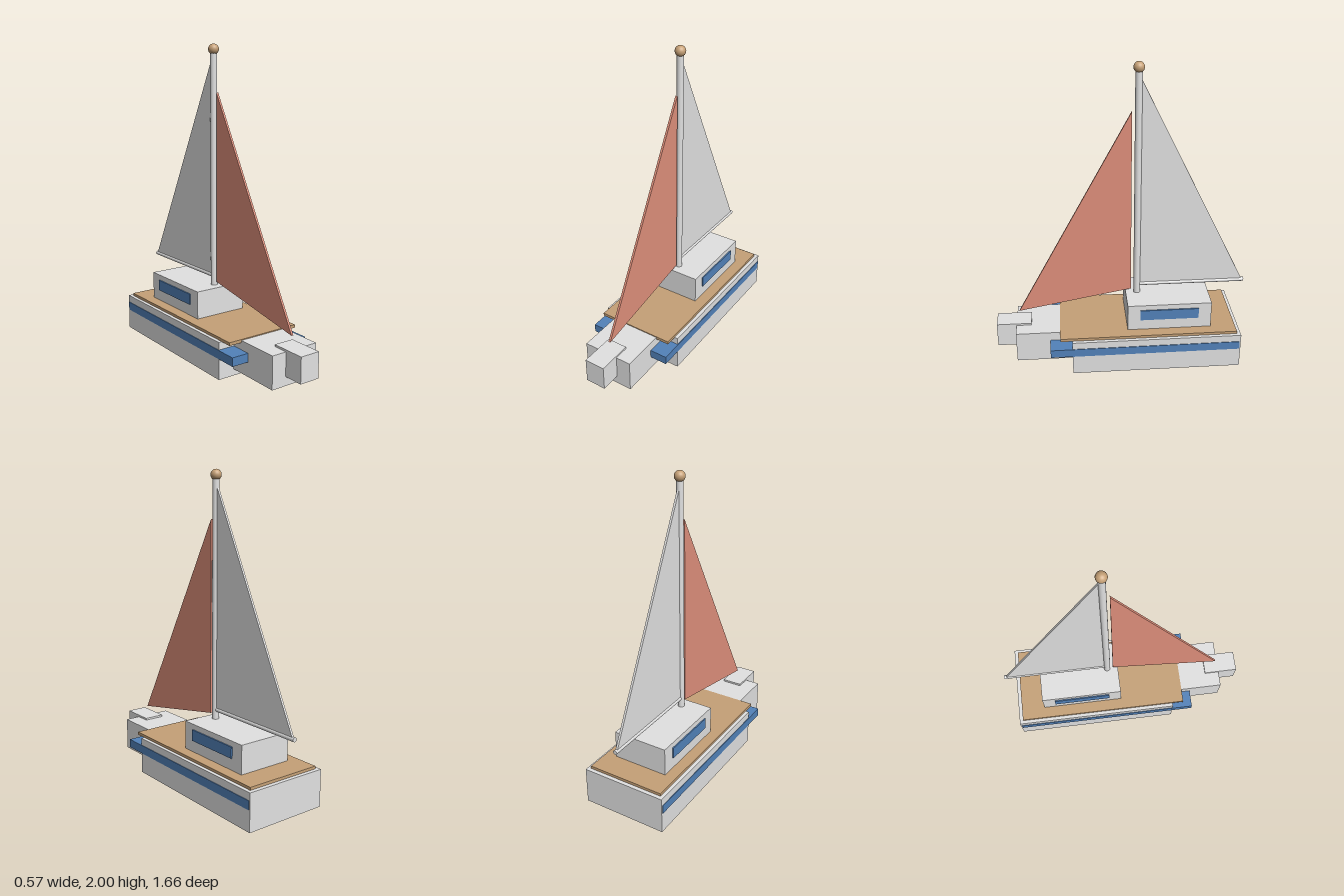
import * as THREE from 'three';

const material = (name, color) => {
  const m = new THREE.MeshStandardMaterial({ color });
  m.name = name;
  return m;
};

export function createModel() {
  const boat = new THREE.Group();
  boat.name = 'sailboat';
  const white = material('white', 0xe2e2e2);
  const wood = material('wood', 0xc6a177);
  const blue = material('blue', 0x5282ba);
  const red = material('red', 0xe0907c);

  const add = (name, geometry, mat) => {
    const mesh = new THREE.Mesh(geometry, mat);
    mesh.name = name;
    boat.add(mesh);
    return mesh;
  };

  // Box given by its extents along each axis
  const block = (name, mat, [x0, x1], [y0, y1], [z0, z1]) =>
    add(name, new THREE.BoxGeometry(x1 - x0, y1 - y0, z1 - z0), mat)
      .position.set((x0 + x1) / 2, (y0 + y1) / 2, (z0 + z1) / 2);

  // Triangular sail from [z, y] corners, centred on x = 0
  const sail = (name, mat, corners, thickness) => {
    const shape = new THREE.Shape(corners.map(([z, y]) => new THREE.Vector2(-z, y)));
    const geometry = new THREE.ExtrudeGeometry(shape, { depth: thickness, bevelEnabled: false });
    geometry.translate(0, 0, -thickness / 2).rotateY(Math.PI / 2);
    add(name, geometry, mat);
  };

  // Hull and stepped bow
  block('hull', white, [-0.28, 0.28], [0, 0.24], [-0.775, 0.333]);
  block('bow', white, [-0.168, 0.168], [0.042, 0.252], [0.3, 0.7]);
  block('bowTip', white, [-0.068, 0.068], [0.1, 0.265], [0.6, 0.83]);
  block('hullStripe', blue, [-0.284, 0.284], [0.136, 0.192], [-0.767, 0.475]);
  block('deck', wood, [-0.257, 0.257], [0.238, 0.258], [-0.75, 0.41]);

  // Cabin with a window on each side
  block('cabin', white, [-0.183, 0.183], [0.255, 0.44], [-0.587, -0.035]);
  for (const side of [-1, 1]) {
    const x = side * 0.1865;
    block(side > 0 ? 'leftWindow' : 'rightWindow', blue,
      [x - 0.0045, x + 0.0045], [0.333, 0.405], [-0.502, -0.118]);
  }

  // Mast, ball and boom
  add('mast', new THREE.CylinderGeometry(0.022, 0.022, 1.53, 16), white)
    .position.set(0, 1.195, -0.11);
  add('mastBall', new THREE.SphereGeometry(0.034, 20, 14), wood)
    .position.set(0, 1.966, -0.11);
  const boom = add('boom', new THREE.CylinderGeometry(0.014, 0.014, 0.72, 12), white);
  boom.rotation.x = Math.PI / 2;
  boom.position.set(0, 0.502, -0.47);

  // Sails
  sail('mainSail', white, [[-0.125, 0.513], [-0.815, 0.513], [-0.125, 1.9]], 0.014);
  sail('foreSail', red, [[-0.07, 0.467], [-0.07, 1.7], [0.677, 0.328]], 0.014);

  return boat;
}
